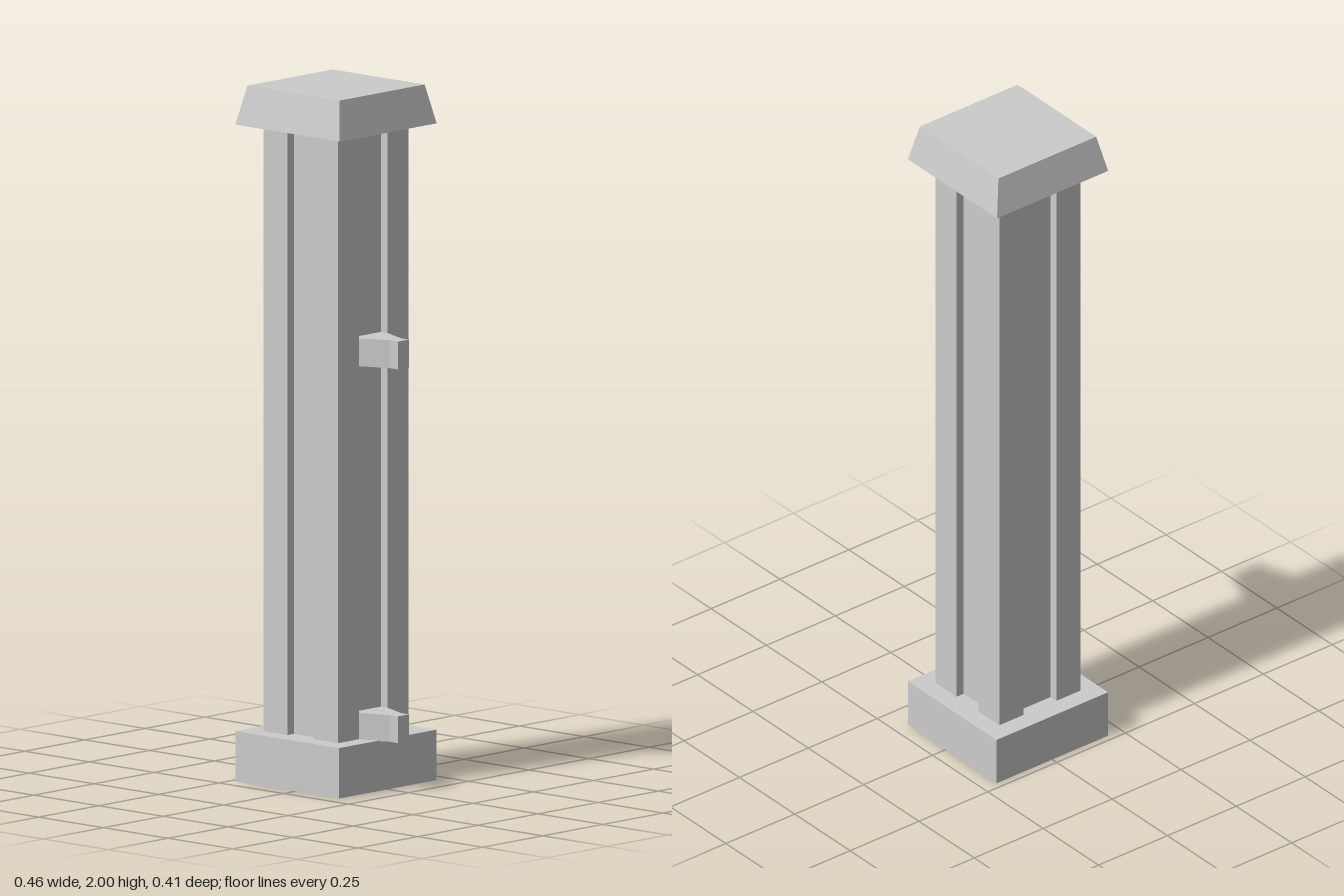
import * as THREE from 'three';

const material = new THREE.MeshStandardMaterial({ color: 0xcccccc, flatShading: true });
const AXIS_X = -0.03; // the post stands off centre, balanced by the brackets

// Vertical prism from a plan outline of [x, z] points
function prism(name, outline, y0, y1) {
  const shape = new THREE.Shape(outline.map(([x, z]) => new THREE.Vector2(x, -z)));
  const geometry = new THREE.ExtrudeGeometry(shape, { depth: y1 - y0, bevelEnabled: false });
  geometry.rotateX(-Math.PI / 2);
  geometry.translate(0, y0, 0);
  const mesh = new THREE.Mesh(geometry, material);
  mesh.name = name;
  return mesh;
}

export function createModel() {
  const group = new THREE.Group();
  group.name = 'post';

  // Square plinth
  const base = new THREE.Mesh(new THREE.BoxGeometry(0.4, 0.145, 0.405), material);
  base.name = 'base';
  base.position.set(AXIS_X, 0.0725, 0);
  group.add(base);

  // Square shaft with a shallow groove down the middle of each side
  const hx = 0.144, hz = 0.147, gx = 0.05, gz = 0.06, d = 0.026;
  const outline = [
    [hx, -hz], [hx, -gz], [hx - d, -gz], [hx - d, gz], [hx, gz], [hx, hz],
    [gx, hz], [gx, hz - d], [-gx, hz - d], [-gx, hz], [-hx, hz],
    [-hx, gz], [-hx + d, gz], [-hx + d, -gz], [-hx, -gz], [-hx, -hz],
    [-gx, -hz], [-gx, -hz + d], [gx, -hz + d], [gx, -hz],
  ].map(([x, z]) => [x + AXIS_X, z]);
  group.add(prism('shaft', outline, 0.145, 1.888));

  // Tapered cap
  const r = Math.SQRT2;
  const capGeometry = new THREE.CylinderGeometry(0.1775 * r, 0.2015 * r, 0.112, 4, 1, false, Math.PI / 4);
  const cap = new THREE.Mesh(capGeometry, material);
  cap.name = 'cap';
  cap.position.set(AXIS_X, 1.944, 0);
  group.add(cap);

  // Brackets seated in the groove and narrowing to a tongue
  const bracket = [
    [0.088, -0.059], [0.114, -0.059], [0.2, -0.0225], [0.23, -0.0225],
    [0.23, 0.0225], [0.2, 0.0225], [0.114, 0.059], [0.088, 0.059],
  ];
  group.add(prism('lowerBracket', bracket, 0.143, 0.22));
  group.add(prism('upperBracket', bracket, 1.217, 1.297));

  return group;
}
